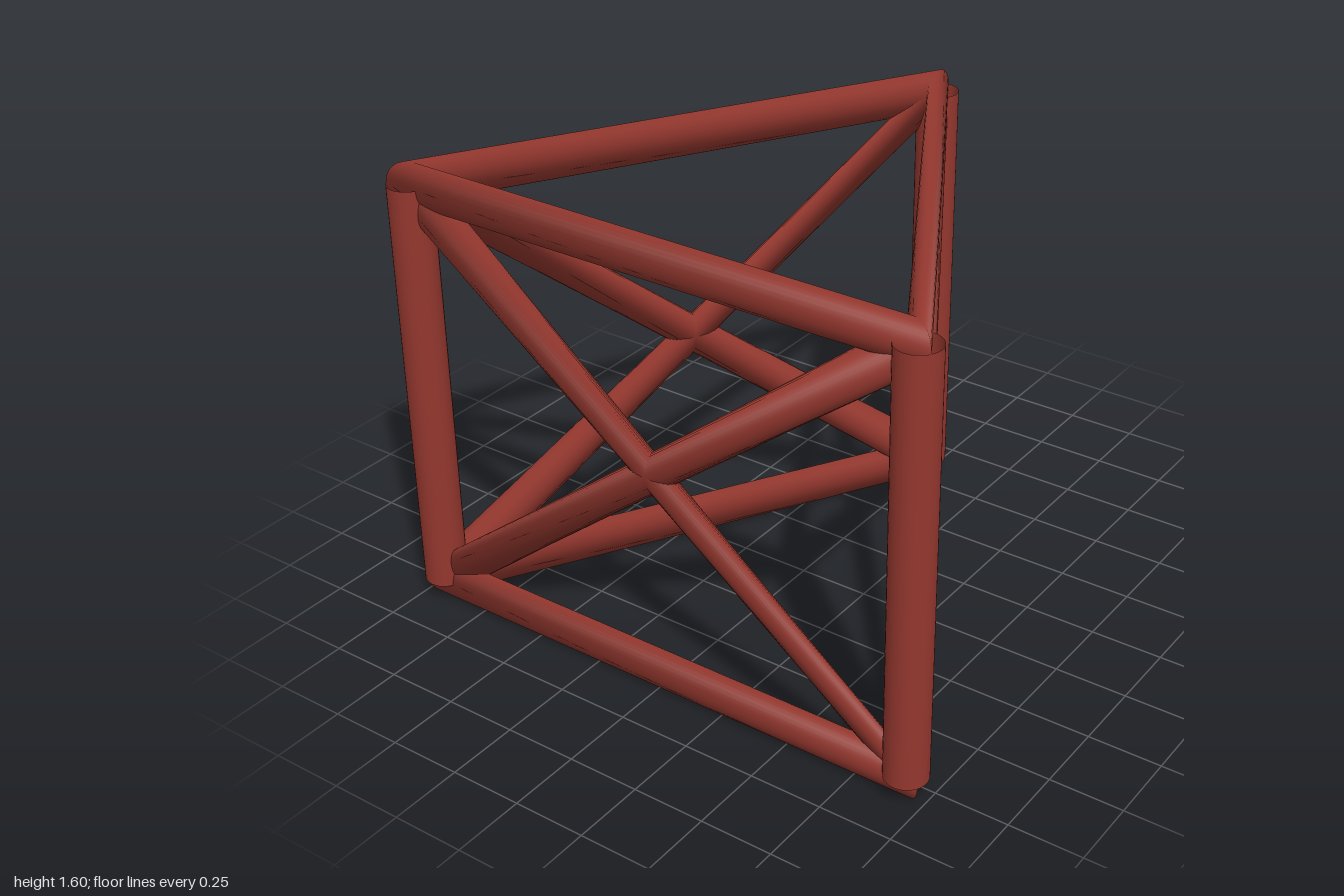
import * as THREE from 'three';

const R = 1.0716;  // distance from the prism's axis to each corner
const T = 0.072;   // tube radius
const H = 1.6;     // overall height
const SIDES = 32;

// Three-cornered torus lying flat, with one corner pointing to -z
function triangleTube(segments, arc) {
  return new THREE.TorusGeometry(R, T, SIDES, segments, arc)
    .rotateZ(Math.PI / 2)
    .rotateX(-Math.PI / 2);
}

export function createModel() {
  const group = new THREE.Group();
  const red = new THREE.MeshStandardMaterial({ color: 0x93372e, side: THREE.DoubleSide });
  red.name = 'brick red';

  const add = (name, geometry, x, y, z) => {
    const mesh = new THREE.Mesh(geometry, red);
    mesh.name = name;
    mesh.position.set(x, y, z);
    group.add(mesh);
  };

  // Bottom and top triangular frames
  const frame = triangleTube(3, Math.PI * 2);
  add('bottomFrame', frame, 0, T, R / 4);
  add('topFrame', frame, 0, H - T, R / 4);

  // Open corner posts between the frame centre lines
  const post = new THREE.CylinderGeometry(T, T, H - 2 * T, SIDES, 1, true);
  for (let i = 0; i < 3; i++) {
    const a = (i * Math.PI * 2) / 3;
    add('cornerPost' + (i + 1), post, -R * Math.sin(a), H / 2, R / 4 - R * Math.cos(a));
  }

  // Cross braces: one tube going twice around, alternating between top and bottom corners
  const braces = triangleTube(6, Math.PI * 4);
  const p = braces.attributes.position;
  for (let i = 0; i < p.count; i++) {
    const corner = i % 7;
    p.setY(i, p.getY(i) + (corner % 2 ? -1 : 1) * (H / 2 - T));
  }
  add('crossBraces', braces, 0, H / 2, R / 4);

  return group;
}
